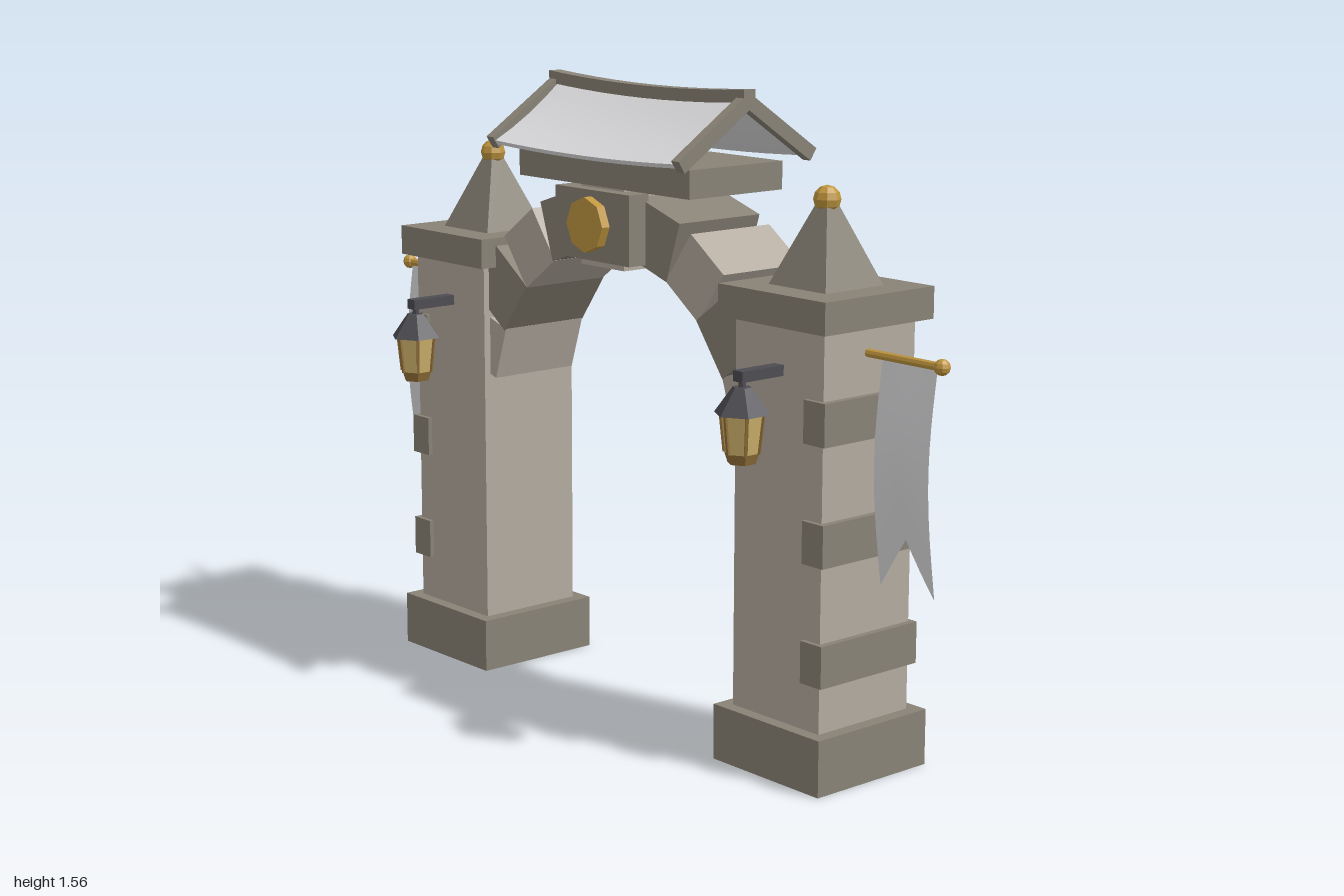
import * as THREE from 'three';

const mat = (name, color, extra = {}) => {
  const m = new THREE.MeshStandardMaterial({ color, flatShading: true, ...extra });
  m.name = name;
  return m;
};
const lightStone = mat('lightStone', 0xb4aba0);
const darkStone = mat('darkStone', 0x898376);
const gold = mat('gold', 0xc0963f);
const iron = mat('iron', 0x4c4c52);
const glass = mat('lanternGlass', 0xccb06a);
const bronze = mat('bronze', 0x92703a);
const cloth = mat('cloth', 0xdedee0, { side: THREE.DoubleSide, flatShading: false });

const ZC = -0.053; // centre plane of the masonry

function add(parent, name, geo, material, x = 0, y = 0, z = 0) {
  const m = new THREE.Mesh(geo, material);
  m.name = name;
  m.position.set(x, y, z);
  parent.add(m);
  return m;
}
const box = (w, h, d) => new THREE.BoxGeometry(w, h, d);
const cyl = (rt, rb, h, n) => new THREE.CylinderGeometry(rt, rb, h, n);

// Swallow-tailed banner hanging from its pole, with a soft wave
function bannerGeometry() {
  const w = 0.165;
  const g = new THREE.PlaneGeometry(w, 1, 8, 12);
  const p = g.attributes.position;
  for (let i = 0; i < p.count; i++) {
    const u = p.getX(i) / (w / 2);
    const v = 0.5 - p.getY(i);
    const length = 0.4 + 0.125 * Math.abs(u);
    const wave = 0.022 * Math.sin(v * Math.PI * 1.1) + 0.008 * (1 - u * u) * v;
    p.setXYZ(i, p.getX(i), -v * length, wave);
  }
  g.computeVertexNormals();
  return g;
}

function lantern() {
  const g = new THREE.Group();
  g.name = 'lantern';
  add(g, 'bracket', box(0.03, 0.025, 0.13), iron, 0, 0.958, 0.152);
  add(g, 'hanger', cyl(0.009, 0.009, 0.03, 6), iron, 0, 0.94, 0.203);
  add(g, 'lanternRoof', cyl(0.022, 0.065, 0.06, 6), iron, 0, 0.903, 0.203);
  add(g, 'lanternGlass', cyl(0.05, 0.04, 0.09, 6), glass, 0, 0.828, 0.203);
  add(g, 'lanternBase', cyl(0.041, 0.033, 0.024, 6), bronze, 0, 0.772, 0.203);
  // Slim corner posts around the glass
  for (let i = 0; i < 6; i++) {
    const turn = new THREE.Group();
    turn.name = 'lanternPost';
    turn.position.set(0, 0.828, 0.203);
    turn.rotation.y = (i * Math.PI) / 3;
    add(turn, 'post', box(0.007, 0.09, 0.007), bronze, 0, 0, 0.045).rotation.x = 0.11;
    g.add(turn);
  }
  return g;
}

function pillar(side) {
  const g = new THREE.Group();
  g.name = side > 0 ? 'leftPillar' : 'rightPillar';
  g.position.x = side * 0.615;
  add(g, 'plinth', box(0.35, 0.135, 0.35), darkStone, 0, 0.0675, ZC);
  add(g, 'shaft', box(0.285, 0.93, 0.287), lightStone, 0, 0.6, ZC);
  add(g, 'capital', box(0.345, 0.075, 0.345), darkStone, 0, 1.0975, ZC);
  for (const y of [0.298, 0.578, 0.855])
    add(g, 'cornerBand', box(0.067, 0.1, 0.31), darkStone, side * 0.125, y, ZC);
  // Four-sided spire with a ball on top
  const k = Math.SQRT1_2;
  add(g, 'spire', cyl(0.035 * k, 0.183 * k, 0.185, 4), darkStone, 0, 1.2275, ZC).rotation.y = Math.PI / 4;
  add(g, 'finial', new THREE.SphereGeometry(0.032, 8, 6), gold, 0, 1.33, ZC);
  // Banner and pole on the outer side
  const zp = -0.046;
  add(g, 'bannerPole', cyl(0.01, 0.01, 0.24, 8), gold, side * 0.25, 1, zp).rotation.z = Math.PI / 2;
  add(g, 'poleBall', new THREE.SphereGeometry(0.019, 8, 6), gold, side * 0.367, 1, zp);
  add(g, 'banner', bannerGeometry(), cloth, side * 0.272, 0.995, zp);
  g.add(lantern());
  return g;
}

function arch() {
  const g = new THREE.Group();
  g.name = 'arch';
  const R = 0.525, cy = 0.7;
  // Alternating wedge stones on either side of the crown
  for (const side of [-1, 1])
    for (let i = 1; i <= 4; i++) {
      const a = (i * Math.PI) / 10;
      const dark = i % 2 === 1;
      const stone = add(g, 'archStone', box(dark ? 0.155 : 0.14, 0.15, dark ? 0.255 : 0.25),
        dark ? darkStone : lightStone, side * R * Math.sin(a), cy + R * Math.cos(a), ZC);
      stone.rotation.z = -side * a;
    }
  add(g, 'crownStone', box(0.16, 0.205, 0.288), lightStone, 0, 1.2175, ZC);
  add(g, 'keystone', box(0.275, 0.17, 0.06), darkStone, 0, 1.22, 0.095);
  add(g, 'medallion', cyl(0.067, 0.067, 0.025, 8), gold, 0, 1.223, 0.136).rotation.x = Math.PI / 2;
  add(g, 'roofSlab', box(0.63, 0.068, 0.295), darkStone, 0, 1.344, ZC);
  return g;
}

// Box that droops in the middle of its length, and optionally across its slope
function saggingBox(w, h, d, sagX, sagZ) {
  const g = new THREE.BoxGeometry(w, h, d, 10, 1, 4);
  const p = g.attributes.position;
  for (let i = 0; i < p.count; i++) {
    const u = p.getX(i) / (w / 2), v = p.getZ(i) / (d / 2);
    p.setY(i, p.getY(i) - sagX * (1 - u * u) - sagZ * (1 - v * v));
  }
  g.computeVertexNormals();
  return g;
}

function roof() {
  const g = new THREE.Group();
  g.name = 'roof';
  const tilt = 0.582, len = 0.25;
  for (const side of [1, -1]) {
    const slope = new THREE.Group();
    slope.name = side > 0 ? 'frontSlope' : 'backSlope';
    slope.position.set(0, 1.461, ZC + side * 0.104);
    slope.rotation.x = side * tilt;
    add(slope, 'canopy', saggingBox(0.67, 0.012, len - 0.004, 0.012, 0.008), cloth);
    for (const x of [-0.344, 0.344]) add(slope, 'rafter', box(0.026, 0.034, len), darkStone, x);
    g.add(slope);
  }
  add(g, 'ridge', saggingBox(0.715, 0.03, 0.036, 0.014, 0), darkStone, 0, 1.543, ZC);
  return g;
}

export function createModel() {
  const model = new THREE.Group();
  model.name = 'gateway';
  model.add(pillar(-1), pillar(1), arch(), roof());
  return model;
}
